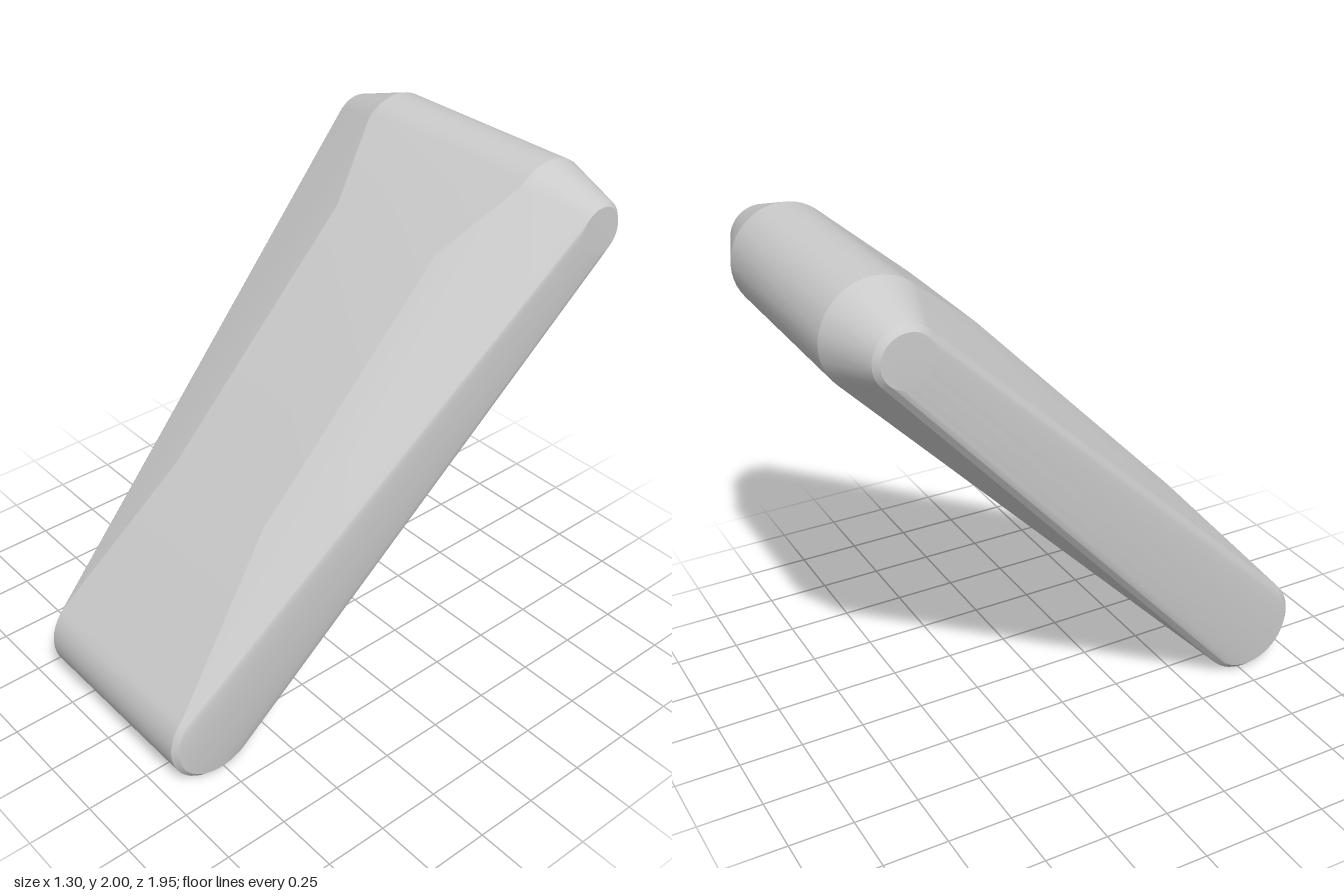
import * as THREE from 'three';
import { ConvexGeometry } from 'three/addons/geometries/ConvexGeometry.js';
import { toCreasedNormals } from 'three/addons/utils/BufferGeometryUtils.js';

const SEGMENTS = 48;

// Ring of points in a plane of constant x
function ring(x, y, z, radius) {
  return Array.from({ length: SEGMENTS }, (_, i) => {
    const a = (i / SEGMENTS) * Math.PI * 2;
    return new THREE.Vector3(x, y + radius * Math.sin(a), z + radius * Math.cos(a));
  });
}

export function createModel() {
  const group = new THREE.Group();
  group.name = 'slantedSlab';

  const points = [];
  for (const side of [-1, 1]) {
    points.push(
      // Rounded foot with a small bevel on its rim
      ...ring(side * 0.39, 0.2, 0.775, 0.2),
      ...ring(side * 0.41, 0.2, 0.775, 0.18),
      // Rounded head, narrowing towards its flared sides
      ...ring(side * 0.4, 1.8, -0.775, 0.2),
      ...ring(side * 0.63, 1.81, -0.78, 0.115),
      ...ring(side * 0.65, 1.81, -0.78, 0.095),
      // Raised panel on the upper face
      new THREE.Vector3(side * 0.265, 0.88, 0.44),
      new THREE.Vector3(side * 0.265, 1.71, -0.36)
    );
  }

  const geometry = toCreasedNormals(new ConvexGeometry(points), 0.2);
  const slab = new THREE.Mesh(geometry, new THREE.MeshStandardMaterial({ color: 0xcccccc }));
  slab.name = 'slab';
  group.add(slab);
  return group;
}
